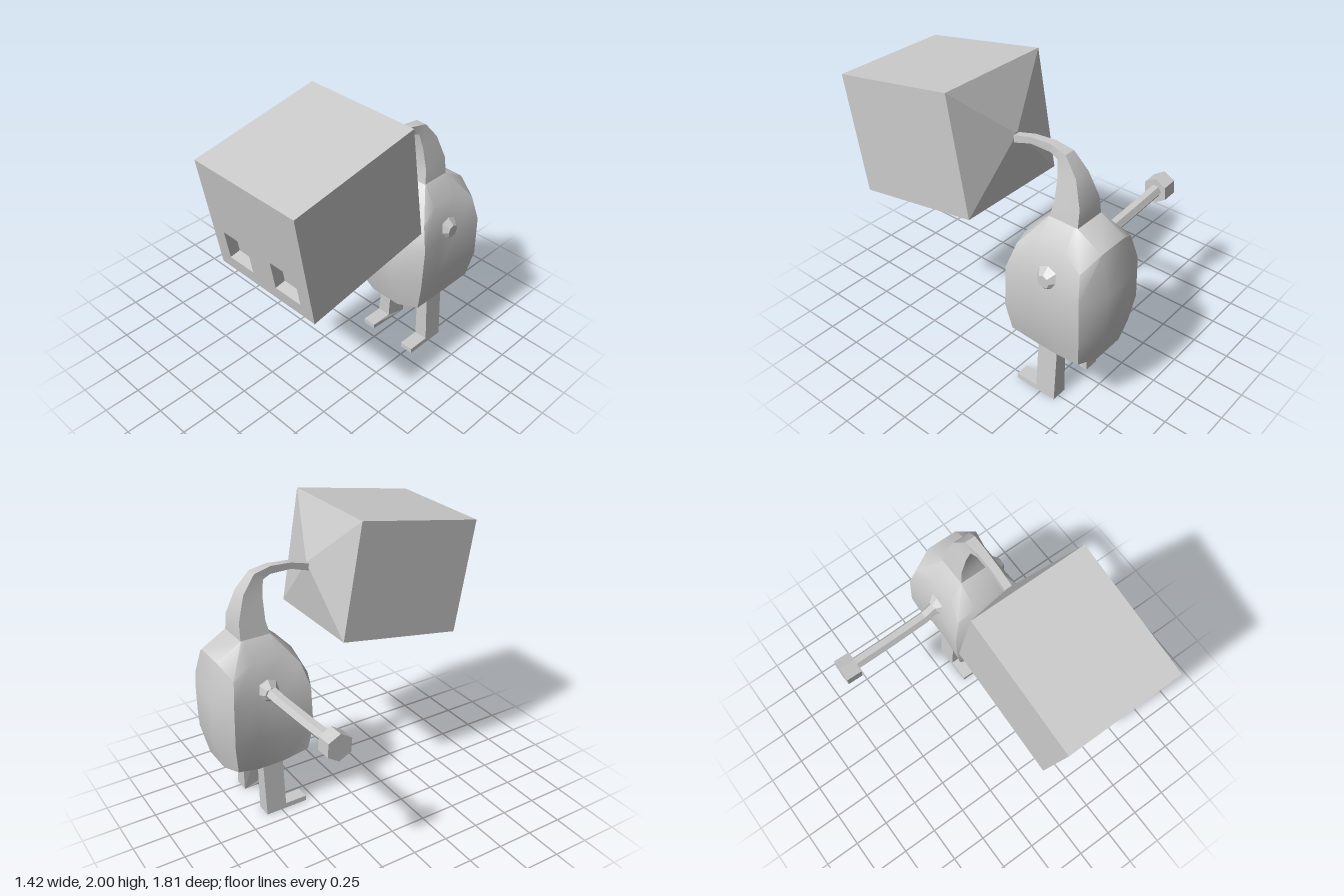
import * as THREE from 'three';
import { toCreasedNormals } from 'three/addons/utils/BufferGeometryUtils.js';

const smooth = new THREE.MeshStandardMaterial({ color: 0xcccccc });
const flat = new THREE.MeshStandardMaterial({ color: 0xcccccc, flatShading: true });

// Skin a list of rings; each ring runs counter-clockwise about the travel direction.
function loft(rings) {
  const n = rings[0].length, index = [];
  for (let i = 0; i < rings.length - 1; i++) {
    for (let j = 0; j < n; j++) {
      const a = i * n + j, b = i * n + (j + 1) % n;
      index.push(a, b, b + n, a, b + n, a + n);
    }
  }
  const last = (rings.length - 1) * n;
  for (let j = 1; j < n - 1; j++) {
    index.push(0, j + 1, j, last, last + j, last + j + 1);
  }
  const g = new THREE.BufferGeometry();
  g.setAttribute('position', new THREE.Float32BufferAttribute(rings.flat(2), 3));
  g.setIndex(index);
  g.computeVertexNormals();
  return g;
}

function add(parent, name, geometry, material = flat) {
  const mesh = new THREE.Mesh(geometry, material);
  mesh.name = name;
  parent.add(mesh);
  return mesh;
}

// Body ring: front middle, front corner, side, then the back ones (mirrored by default).
const flipZ = ([x, y, z]) => [x, y, -z];
function bodyRing(mid, corner, side, backCorner = flipZ(corner), backMid = flipZ(mid)) {
  const half = [mid, corner, side, flipZ(side), backCorner, backMid];
  return [...half, ...half.map(([x, y, z]) => [-x, y, z]).reverse()];
}

function hexRing(x, y, z, r, turn = 0) {
  return Array.from({ length: 6 }, (_, i) => {
    const a = i * Math.PI / 3 + turn;
    return [x, y + r * Math.sin(a), z + r * Math.cos(a)];
  });
}

function square(x, y) {
  return [[x, -y], [x, y], [-x, y], [-x, -y]];
}

function buildHead() {
  const head = new THREE.Group();
  head.name = 'head';
  const w = 0.39, h = 0.388, d = 0.445, eyeDepth = 0.07;

  // block with a shallow pyramid at the back
  const rect = (s, z, y = 0) => square(w * s, h * s).map(([px, py]) => [px, py + y, z]);
  add(head, 'headBlock', loft([rect(0.03, -d - 0.1, 0.01), rect(1, -d), rect(1, d - eyeDepth)]));

  // face slab with two square eye sockets
  const toPoints = (pts) => pts.map(([x, y]) => new THREE.Vector2(x, y));
  const face = new THREE.Shape(toPoints(square(w, h)));
  for (const s of [-1, 1]) {
    const socket = square(0.1, 0.1).map(([x, y]) => [x + s * 0.195, y - 0.197]);
    face.holes.push(new THREE.Path(toPoints(socket)));
  }
  const slab = new THREE.ExtrudeGeometry(face, { depth: eyeDepth, bevelEnabled: false });
  add(head, 'face', slab).position.z = d - eyeDepth;

  head.position.set(0, 1.541, 0.405);
  head.rotation.x = Math.PI / 18;
  return head;
}

function buildLeg(side) {
  // L-shaped side profile (forward, up), extruded across the leg
  const pts = [[-0.61, 0], [-0.31, 0], [-0.31, 0.035], [-0.465, 0.035], [-0.465, 0.4], [-0.61, 0.4]];
  const shape = new THREE.Shape(pts.map(([z, y]) => new THREE.Vector2(z, y)));
  const g = new THREE.ExtrudeGeometry(shape, { depth: 0.09, bevelEnabled: false });
  g.rotateY(-Math.PI / 2);
  // splay outwards towards the foot
  const p = g.attributes.position;
  for (let i = 0; i < p.count; i++) {
    const down = 1 - p.getY(i) / 0.4;
    const forward = (p.getZ(i) + 0.61) / 0.3;
    const inner = 0.117 + 0.012 * down * Math.min(1, forward * 2);
    const outer = 0.2 + 0.024 * down;
    p.setX(i, side * (p.getX(i) < -0.045 ? outer : inner));
  }
  // one side keeps the extruded winding, the other is reversed by the mirror
  if (side > 0) {
    for (let i = 0; i < p.count; i += 3) {
      const a = new THREE.Vector3().fromBufferAttribute(p, i);
      const b = new THREE.Vector3().fromBufferAttribute(p, i + 1);
      p.setXYZ(i, b.x, b.y, b.z);
      p.setXYZ(i + 1, a.x, a.y, a.z);
    }
  }
  g.computeVertexNormals();
  return g;
}

export function createModel() {
  const model = new THREE.Group();
  model.name = 'figure';
  const figure = new THREE.Group();
  figure.name = 'bodyAndHead';
  figure.position.x = 0.32;
  model.add(figure);

  figure.add(buildHead());

  // body: rounded box with slightly hollow sides
  const body = loft([
    bodyRing([0.11, 0.38, 0.07], [0.11, 0.38, 0.07], [0.11, 0.38, 0.07]),
    bodyRing([0.11, 0.41, 0.29], [0.255, 0.445, 0.255], [0.215, 0.385, 0.09]),
    bodyRing([0.11, 0.64, 0.345], [0.29, 0.64, 0.28], [0.275, 0.64, 0.1]),
    bodyRing([0.11, 0.93, 0.348], [0.29, 0.93, 0.27], [0.265, 0.93, 0.1]),
    bodyRing([0.11, 1.15, 0.235], [0.235, 1.09, 0.23], [0.205, 1.16, 0.1],
      [0.245, 1.1, -0.24], [0.11, 1.18, -0.285]),
    bodyRing([0.11, 1.28, 0.09], [0.11, 1.28, 0.09], [0.11, 1.28, 0.09],
      [0.11, 1.28, -0.115], [0.11, 1.28, -0.115]),
  ]);
  add(figure, 'body', toCreasedNormals(body, 0.65), smooth).position.z = -0.555;

  // neck: [back z, back y, front z, front y, half width] from the body to the head
  const neck = [
    [-0.67, 1.27, -0.465, 1.27, 0.11],
    [-0.665, 1.395, -0.485, 1.37, 0.092],
    [-0.608, 1.555, -0.48, 1.52, 0.058],
    [-0.517, 1.666, -0.46, 1.617, 0.037],
    [-0.4, 1.69, -0.405, 1.638, 0.028],
    [-0.257, 1.68, -0.257, 1.638, 0.025],
    [-0.125, 1.645, -0.125, 1.597, 0.025],
  ].map(([bz, by, fz, fy, h]) => [[h, fy, fz], [h, by, bz], [-h, by, bz], [-h, fy, fz]]);
  add(figure, 'neck', toCreasedNormals(loft(neck), 0.6), smooth);

  // legs and shoulder collars, one per side
  for (const s of [-1, 1]) {
    const side = s > 0 ? 'left' : 'right';
    add(figure, side + 'Leg', buildLeg(s));
    const collar = new THREE.CylinderGeometry(0.042, 0.085, 0.045, 8);
    collar.rotateZ(-s * Math.PI / 2);
    add(figure, side + 'Shoulder', collar).position.set(s * 0.263, 0.96, -0.565);
  }

  // single right arm with a hexagonal hand
  add(model, 'rightArm', loft([
    hexRing(0.08, 0.965, -0.56, 0.045),
    hexRing(-0.05, 0.946, -0.545, 0.043),
    hexRing(-0.3, 0.952, -0.537, 0.043),
    hexRing(-0.62, 0.968, -0.53, 0.043),
  ]));
  add(model, 'rightHand', loft([
    hexRing(-0.602, 0.966, -0.528, 0.09, 0.45),
    hexRing(-0.71, 0.972, -0.528, 0.09, 0.45),
  ]));

  return model;
}
